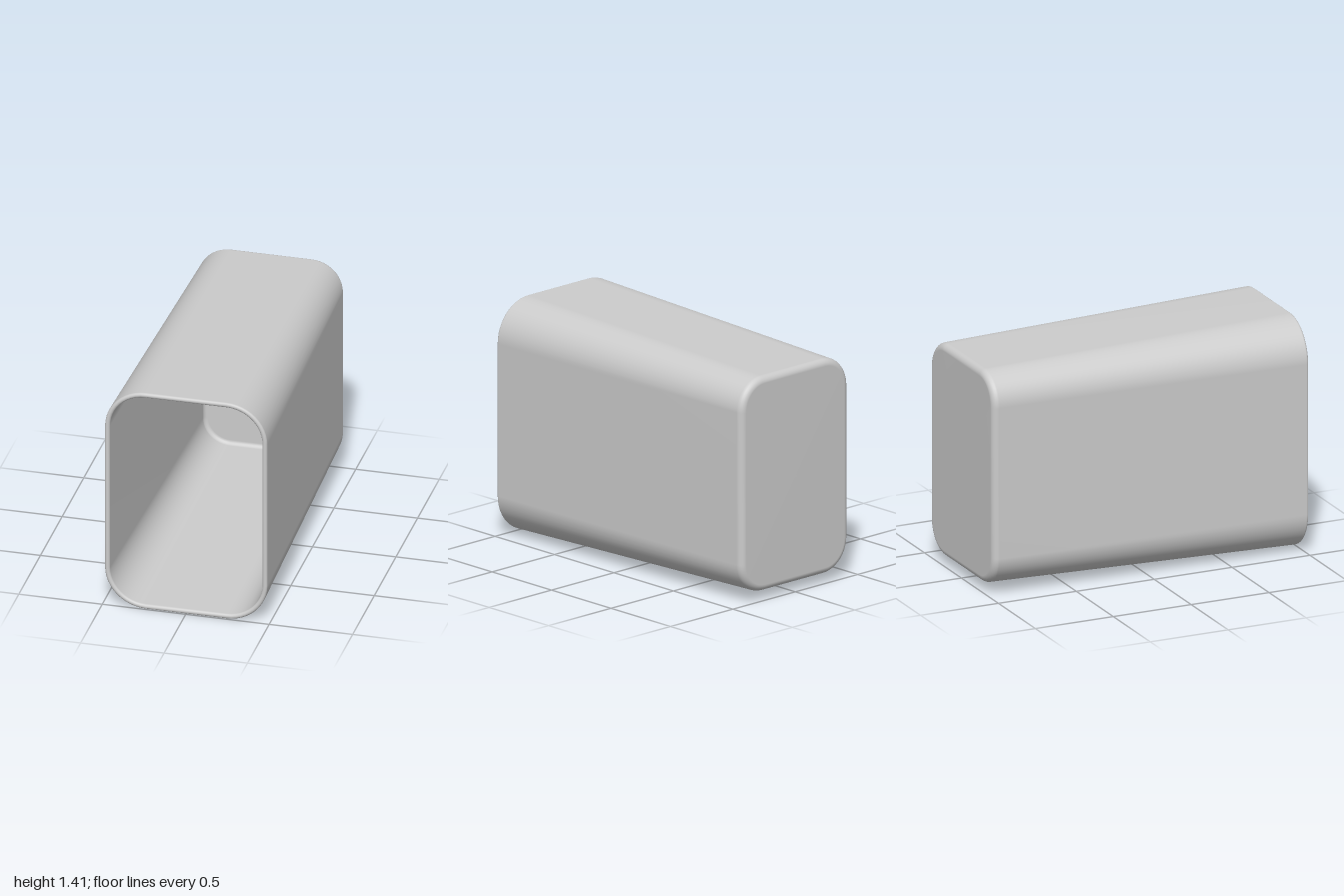
import * as THREE from 'three';

const CENTER_Y = 0.706;
const WALL = 0.03;
const CORNER_STEPS = 12;

// Rounded rectangle, counter-clockwise seen from +z; d is the inset from the tapered outer skin
function section(d, z) {
  const back = (1 - z) / 2;
  const hw = 0.487 - 0.056 * back - d;
  const hh = 0.706 - 0.056 * back - d;
  const r = Math.max(0.245 - 0.056 * back - d, 0.001);
  const pts = [];
  for (let q = 0; q < 4; q++) {
    const sx = q === 0 || q === 3 ? 1 : -1;
    const sy = q < 2 ? 1 : -1;
    for (let k = 0; k <= CORNER_STEPS; k++) {
      const a = (q + k / CORNER_STEPS) * Math.PI / 2;
      pts.push([sx * (hw - r) + r * Math.cos(a), CENTER_Y + sy * (hh - r) + r * Math.sin(a), z]);
    }
  }
  return pts;
}

// Arc in the wall profile: points [inset, z]
function arc(d, z, r, from, to, steps) {
  return Array.from({ length: steps + 1 }, (_, i) => {
    const a = from + (to - from) * i / steps;
    return [d - r * Math.cos(a), z + r * Math.sin(a)];
  });
}

function loft(rings) {
  const n = rings[0].length;
  const index = [];
  for (let i = 0; i < rings.length - 1; i++) {
    for (let j = 0; j < n; j++) {
      const k = (j + 1) % n;
      const a = i * n + j, b = i * n + k, c = b + n, e = a + n;
      index.push(a, b, c, a, c, e);
    }
  }
  const geo = new THREE.BufferGeometry();
  geo.setAttribute('position', new THREE.Float32BufferAttribute(rings.flat(2), 3));
  geo.setIndex(index);
  geo.computeVertexNormals();
  return geo;
}

export function createModel() {
  const group = new THREE.Group();
  group.name = 'taperedBin';

  const H = Math.PI / 2, rim = WALL / 2;
  const profile = [
    ...arc(0.04, -0.96, 0.04, -H, 0, 6),              // outer back edge
    ...arc(rim, 1 - rim, rim, 0, Math.PI, 8),         // rounded rim
    ...arc(WALL, -0.945, 0, 0, 0, 0).slice(1),
    ...Array.from({ length: 6 }, (_, i) => {          // inner floor fillet
      const a = H * i / 5;
      return [WALL + 0.025 * (1 - Math.cos(a)), -0.945 - 0.025 * Math.sin(a)];
    }),
  ];
  const rings = profile.map(([d, z]) => section(d, z));

  // Close the back outside and the floor inside at their centres
  const centre = (z) => rings[0].map(() => [0, CENTER_Y, z]);
  const geo = loft([centre(-1), ...rings, centre(-0.97)]);

  const shell = new THREE.Mesh(geo, new THREE.MeshStandardMaterial({ color: 0xcccccc }));
  shell.name = 'hollowShell';
  group.add(shell);
  return group;
}
